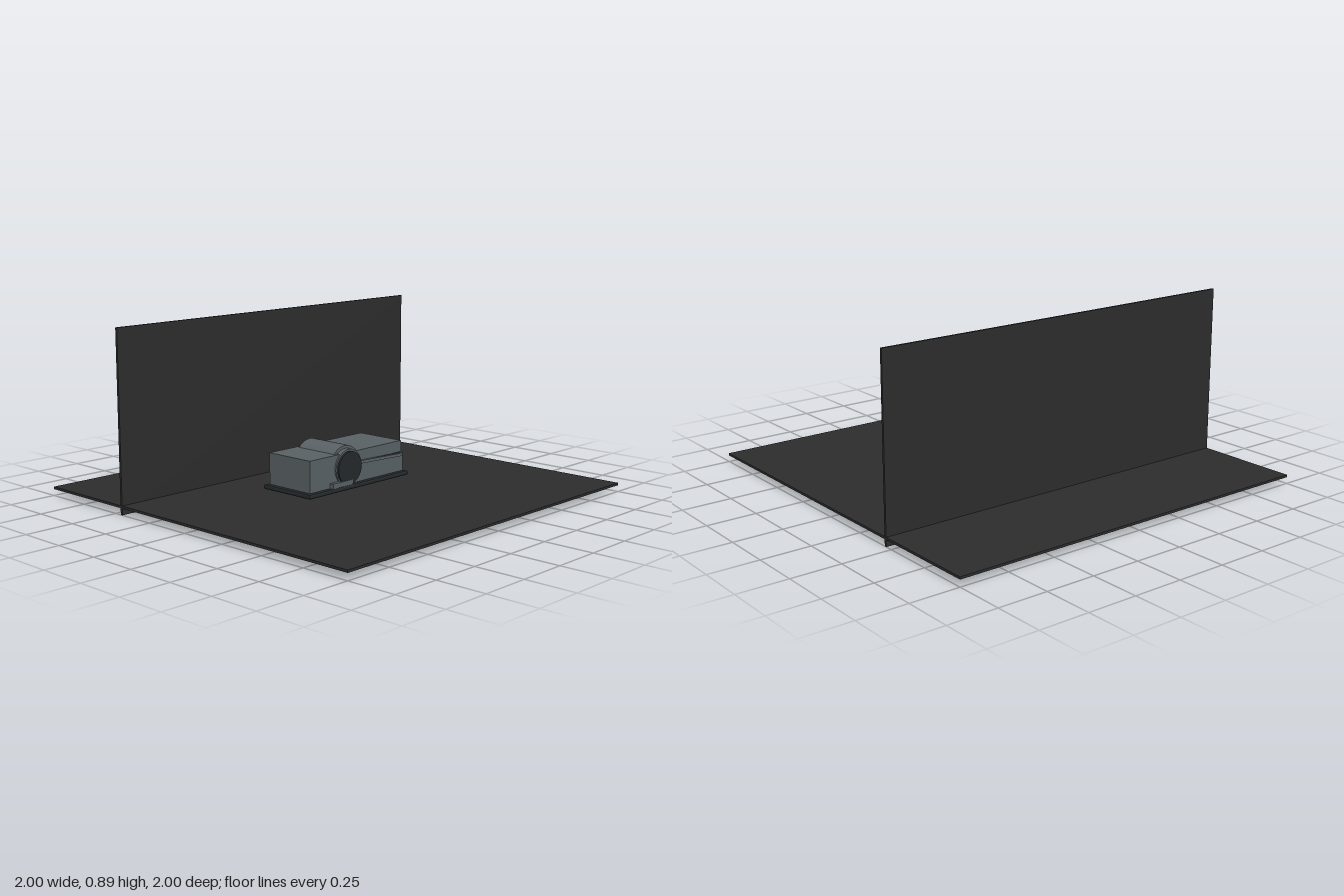
import * as THREE from 'three';

export function createModel() {
  const model = new THREE.Group();
  const material = (name, color) => {
    const m = new THREE.MeshStandardMaterial({ color });
    m.name = name;
    return m;
  };
  const backdrop = material('charcoal', 0x2d2d2d);
  const metal = material('steelGrey', 0x5a6266);
  const dark = material('darkRubber', 0x25292b);

  const add = (name, geometry, mat, x, y, z) => {
    const mesh = new THREE.Mesh(geometry, mat);
    mesh.name = name;
    mesh.position.set(x, y, z);
    model.add(mesh);
    return mesh;
  };
  // Box given by its low and high corners
  const box = (name, mat, x0, x1, y0, y1, z0, z1) =>
    add(name, new THREE.BoxGeometry(x1 - x0, y1 - y0, z1 - z0), mat, (x0 + x1) / 2, (y0 + y1) / 2, (z0 + z1) / 2);
  // Cylinder lying along z
  const drum = (name, mat, radius, x, y, z0, z1) =>
    add(name, new THREE.CylinderGeometry(radius, radius, z1 - z0, 40).rotateX(Math.PI / 2), mat, x, y, (z0 + z1) / 2);
  // Thin bar running between two points in plan
  const bar = (name, x0, z0, x1, z1, y, height, depth) => {
    const length = Math.hypot(x1 - x0, z1 - z0);
    const mesh = add(name, new THREE.BoxGeometry(length, height, depth), metal, (x0 + x1) / 2, y, (z0 + z1) / 2);
    mesh.rotation.y = -Math.atan2(z1 - z0, x1 - x0);
  };

  // Floor and back wall
  box('floor', backdrop, -1, 1, 0.033, 0.045, -1, 1);
  box('backWall', backdrop, -1, 1, 0, 0.89, -0.462, -0.45);

  // Base tray with a bevelled rim
  const w = 0.345, d = 0.148;
  const outline = new THREE.Shape([[-w, -d], [w, -d], [w, d], [-w, d]].map(p => new THREE.Vector2(...p)));
  const tray = new THREE.ExtrudeGeometry(outline, {
    depth: 0.009, bevelThickness: 0.008, bevelSize: 0.011, bevelSegments: 2,
  });
  add('baseTray', tray.rotateX(-Math.PI / 2), dark, -0.002, 0.068, 0);

  // Housing: lower case, upper case and stepped end
  box('lowerCase', metal, -0.337, 0.337, 0.085, 0.182, -0.138, 0.138);
  box('upperCase', metal, -0.337, 0.322, 0.182, 0.243, -0.138, 0.138);
  box('caseSeam', dark, 0.07, 0.323, 0.182, 0.186, -0.141, 0.141);
  box('frontFoot', metal, -0.2, -0.06, 0.085, 0.11, 0.13, 0.16);

  // Drum through the housing, with dial in front
  drum('drum', metal, 0.105, -0.075, 0.172, -0.12, 0.12);
  drum('drumCollar', metal, 0.09, -0.075, 0.172, 0.12, 0.146);
  drum('dial', dark, 0.082, -0.075, 0.17, 0.14, 0.156);

  // Levers on both sides
  bar('frontLever', -0.04, 0.135, 0.283, 0.175, 0.183, 0.015, 0.016);
  bar('backLever', 0.18, -0.138, -0.183, -0.158, 0.202, 0.017, 0.014);

  return model;
}
